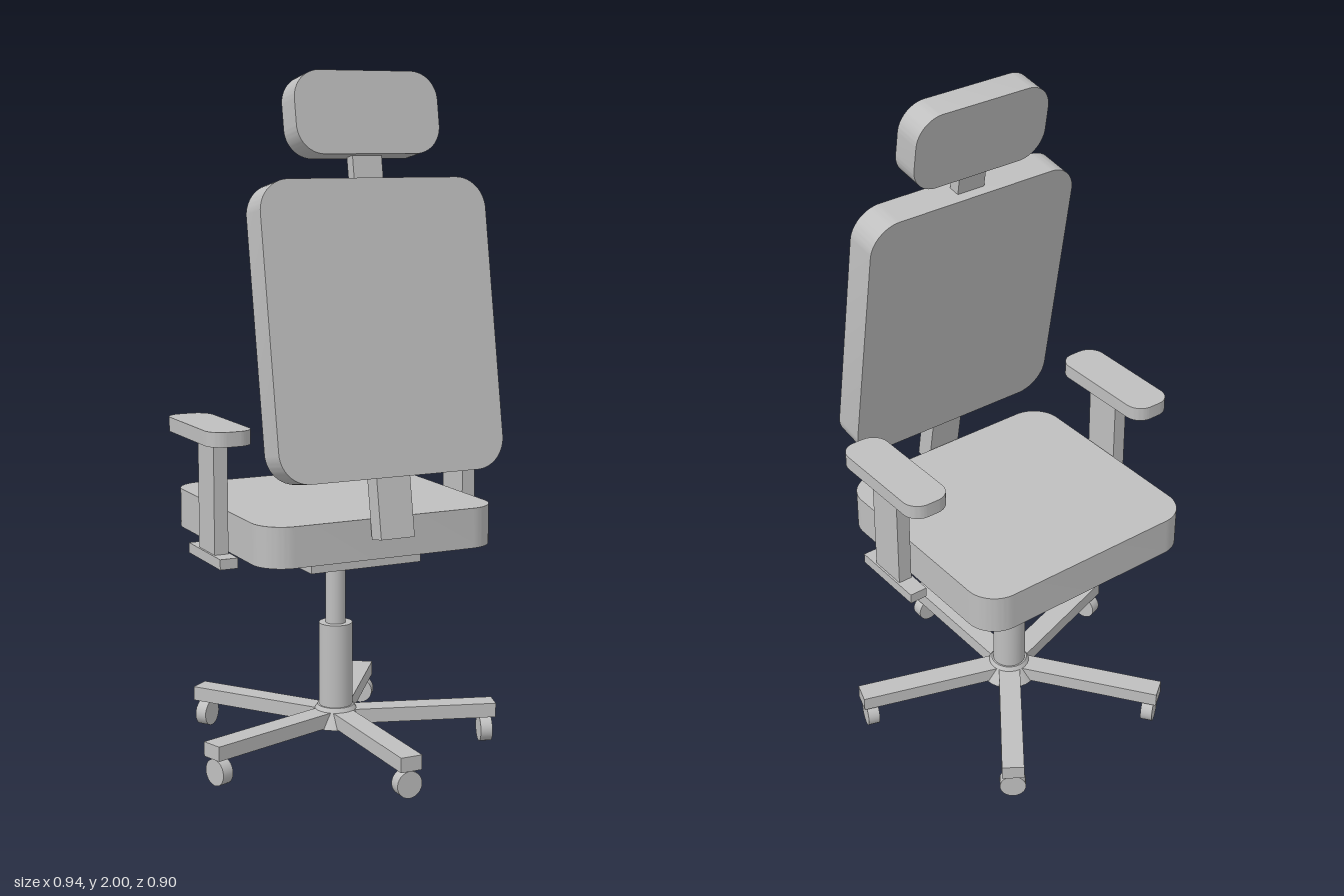
import * as THREE from 'three';
import { toCreasedNormals } from 'three/addons/utils/BufferGeometryUtils.js';

const grey = new THREE.MeshStandardMaterial({ color: 0xbfbfbf });
grey.name = 'plain grey';

function add(parent, name, geometry, x = 0, y = 0, z = 0) {
  const mesh = new THREE.Mesh(geometry, grey);
  mesh.name = name;
  mesh.position.set(x, y, z);
  parent.add(mesh);
  return mesh;
}

function addGroup(parent, name, x = 0, y = 0, z = 0) {
  const group = new THREE.Group();
  group.name = name;
  group.position.set(x, y, z);
  parent.add(group);
  return group;
}

const box = (w, h, d) => new THREE.BoxGeometry(w, h, d);

// Slab with rounded corners, standing in the xy plane and centred
function roundedSlab(w, h, depth, r) {
  const a = w / 2, b = h / 2;
  const s = new THREE.Shape();
  s.absarc(a - r, b - r, r, 0, Math.PI / 2);
  s.absarc(-a + r, b - r, r, Math.PI / 2, Math.PI);
  s.absarc(-a + r, -b + r, r, Math.PI, Math.PI * 1.5);
  s.absarc(a - r, -b + r, r, Math.PI * 1.5, Math.PI * 2);
  s.closePath();
  const g = new THREE.ExtrudeGeometry(s, { depth, bevelEnabled: false, curveSegments: 10 });
  g.translate(0, 0, -depth / 2);
  return toCreasedNormals(g, 0.6);
}

// The same slab lying flat
const flatSlab = (w, h, d, r) => roundedSlab(w, d, h, r).rotateX(-Math.PI / 2);

export function createModel() {
  const chair = new THREE.Group();
  chair.name = 'officeChair';
  const cz = -0.035; // column axis

  // Seat and its mounting plate
  add(chair, 'seat', flatSlab(0.738, 0.117, 0.712, 0.09), 0, 0.713, -0.064);
  add(chair, 'seatPlate', box(0.35, 0.056, 0.38), 0, 0.628, -0.02);

  // Reclined back with headrest and struts on one shared axis
  const back = addGroup(chair, 'back', 0, 1.294, 0.232);
  back.rotation.x = -Math.PI / 18;
  add(back, 'backrest', roundedSlab(0.694, 0.825, 0.098, 0.09));
  add(back, 'headrest', roundedSlab(0.44, 0.23, 0.086, 0.08), 0, 0.594, 0.002);
  add(back, 'headrestStrut', box(0.09, 0.14, 0.036), 0, 0.45, 0);
  add(back, 'backStrut', box(0.104, 0.2, 0.058), 0, -0.483, 0.001);

  // Armrests
  for (const side of [-1, 1]) {
    const arm = addGroup(chair, side > 0 ? 'leftArmrest' : 'rightArmrest', side * 0.4, 0, 0);
    add(arm, 'armPad', flatSlab(0.132, 0.042, 0.37, 0.05), 0, 1.0, -0.031);
    add(arm, 'armPost', box(0.042, 0.34, 0.118), 0, 0.815, -0.005);
    add(arm, 'armFoot', box(0.054, 0.03, 0.24), 0, 0.64, -0.01);
  }

  // Gas lift and hub
  add(chair, 'upperColumn', new THREE.CylinderGeometry(0.03, 0.03, 0.24, 24), 0, 0.49, cz);
  add(chair, 'lowerColumn', new THREE.CylinderGeometry(0.05, 0.05, 0.28, 24), 0, 0.25, cz);
  add(chair, 'hub', new THREE.CylinderGeometry(0.055, 0.088, 0.058, 24), 0, 0.109, cz);

  // Five legs, each with a caster whose axle runs along the leg
  for (let i = 0; i < 5; i++) {
    const leg = addGroup(chair, 'legAssembly', 0, 0, cz);
    leg.rotation.y = i * Math.PI * 2 / 5;
    add(leg, 'leg', box(0.066, 0.043, 0.465), 0, 0.104, 0.2525);
    add(leg, 'caster', new THREE.CylinderGeometry(0.039, 0.039, 0.036, 24).rotateX(Math.PI / 2), 0, 0.044, 0.457);
    leg.children[1].position.y = 0.0395;
    add(leg, 'casterStem', box(0.02, 0.03, 0.02), 0, 0.075, 0.457);
  }

  return chair;
}
